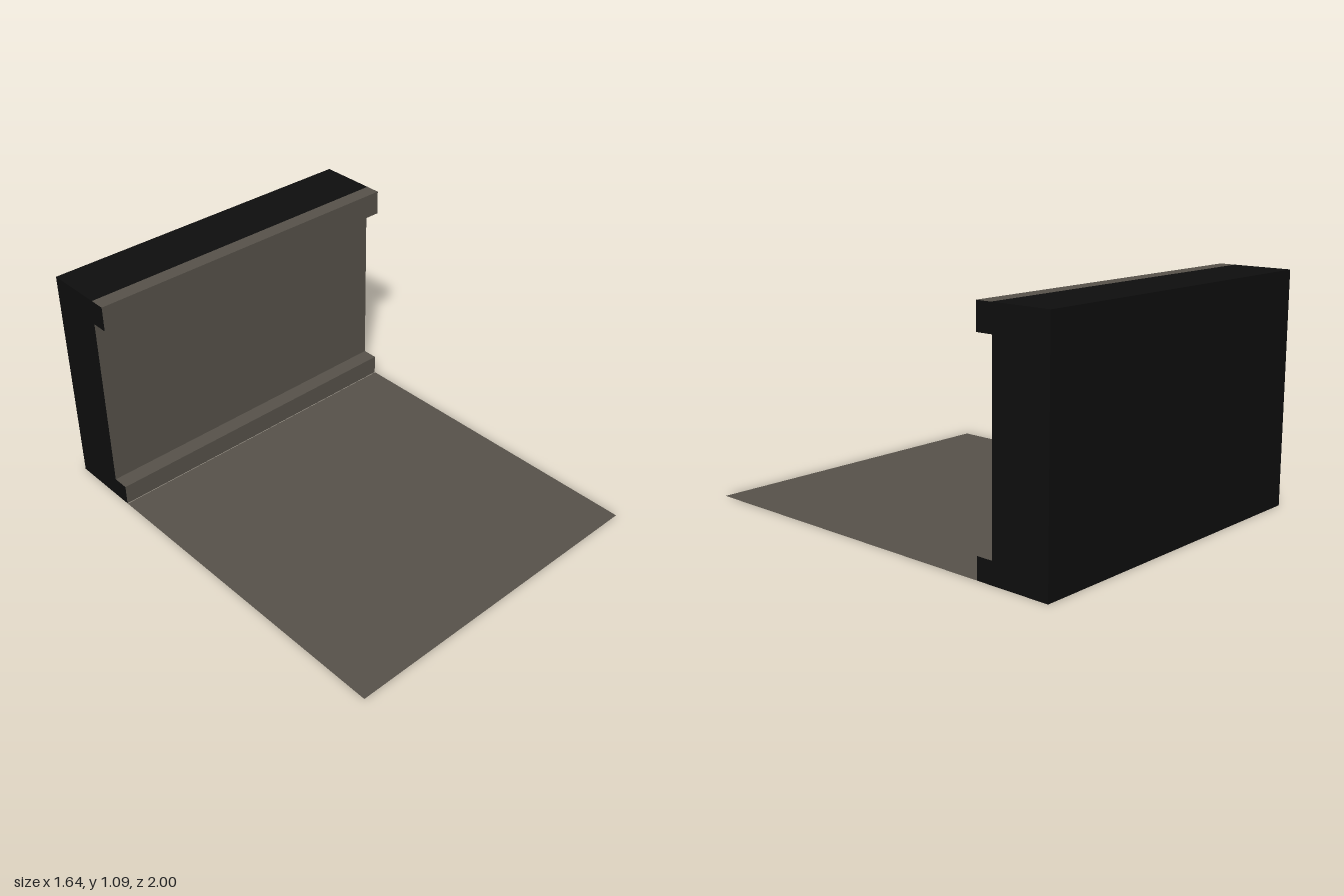
import * as THREE from 'three';

const HALF = 0.82; // half the width
const BACK = -1, FACE = -0.64, PANEL = -0.72;
const TOP = 1.09, CORNICE = 0.97, LEDGE = 0.1;

export function createModel() {
  const group = new THREE.Group();
  const stone = new THREE.MeshStandardMaterial({ color: 0x57524a, side: THREE.DoubleSide });
  const stoneFront = new THREE.MeshStandardMaterial({ color: 0x57524a });
  const black = new THREE.MeshStandardMaterial({ color: 0x0e0e0e, side: THREE.DoubleSide });
  const blackFront = new THREE.MeshStandardMaterial({ color: 0x0e0e0e });
  stone.name = 'stone';
  stoneFront.name = 'stone one sided';
  black.name = 'black';
  blackFront.name = 'black one sided';

  const add = (name, geometry, material) => {
    const mesh = new THREE.Mesh(geometry, material);
    mesh.name = name;
    group.add(mesh);
    return mesh;
  };

  // Full-width face between two profile points [z, y]; it faces x cross (b - a)
  const strip = (name, [za, ya], [zb, yb], material) => {
    const g = new THREE.BufferGeometry();
    g.setAttribute('position', new THREE.Float32BufferAttribute([
      -HALF, ya, za, HALF, ya, za, HALF, yb, zb, -HALF, yb, zb,
    ], 3));
    g.setIndex([0, 1, 2, 0, 2, 3]);
    g.computeVertexNormals();
    return add(name, g, material);
  };

  // Ground sheet in front of the wall
  strip('floor', [1, 0], [FACE + 0.003, 0], stone);

  // Wall shell, open underneath, from the foot up and over to the back
  strip('ledgeFront', [FACE, 0], [FACE, LEDGE], stone);
  strip('ledgeTop', [FACE, LEDGE], [PANEL, LEDGE], stoneFront);
  strip('ledgeUnderside', [PANEL, LEDGE], [FACE, LEDGE], blackFront);
  strip('wallPanel', [PANEL, LEDGE], [PANEL, CORNICE], stone);
  strip('corniceUnderside', [PANEL, CORNICE], [FACE, CORNICE], black);
  strip('corniceFront', [FACE, CORNICE], [FACE, TOP], stone);
  strip('corniceTop', [FACE, TOP], [PANEL + 0.005, TOP], stone);
  strip('wallTop', [PANEL + 0.005, TOP], [BACK, TOP], black);
  strip('wallBack', [BACK, TOP], [BACK, 0], black);

  // End caps with the wall's profile (shape x is -z)
  const profile = new THREE.Shape([
    [-BACK, 0], [-BACK, TOP], [-FACE, TOP], [-FACE, CORNICE],
    [-PANEL, CORNICE], [-PANEL, LEDGE], [-FACE, LEDGE], [-FACE, 0],
  ].map(([x, y]) => new THREE.Vector2(x, y)));
  for (const side of [-1, 1]) {
    const cap = add(side > 0 ? 'leftEnd' : 'rightEnd', new THREE.ShapeGeometry(profile), black);
    cap.rotation.y = Math.PI / 2;
    cap.position.x = side * HALF;
  }
  return group;
}
